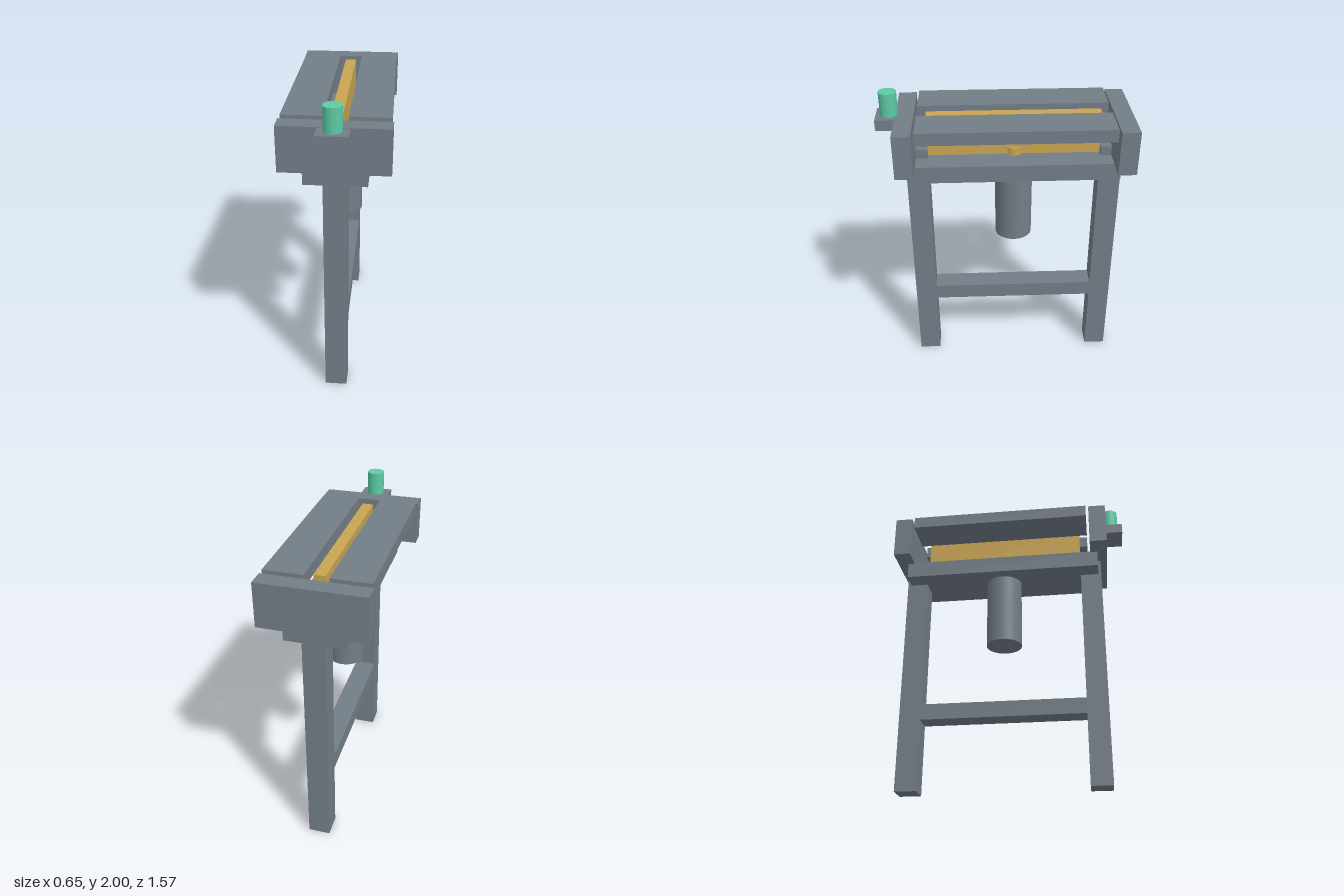
import * as THREE from 'three';

const steel = new THREE.MeshStandardMaterial({ name: 'steelGrey', color: 0x737d87 });
const brass = new THREE.MeshStandardMaterial({ name: 'brass', color: 0xc9a552 });
const green = new THREE.MeshStandardMaterial({ name: 'knobGreen', color: 0x5dcaa5 });

export function createModel() {
  const model = new THREE.Group();
  model.name = 'machineBench';

  const add = (name, geometry, material, x, y, z) => {
    const mesh = new THREE.Mesh(geometry, material);
    mesh.name = name;
    mesh.position.set(x, y, z);
    model.add(mesh);
  };
  // Box given by its extents along each axis
  const box = (name, material, [x0, x1], [y0, y1], [z0, z1]) =>
    add(name, new THREE.BoxGeometry(x1 - x0, y1 - y0, z1 - z0), material,
      (x0 + x1) / 2, (y0 + y1) / 2, (z0 + z1) / 2);
  // Upright cylinder
  const cylinder = (name, material, radius, [y0, y1], z, sides) =>
    add(name, new THREE.CylinderGeometry(radius, radius, y1 - y0, sides), material,
      0, (y0 + y1) / 2, z);

  // Stand: two posts joined by a stretcher
  box('frontLeg', steel, [-0.07, 0.07], [0, 1.64], [0.48, 0.62]);
  box('backLeg', steel, [-0.07, 0.07], [0, 1.64], [-0.74, -0.6]);
  box('stretcher', steel, [-0.07, 0.07], [0.465, 0.57], [-0.6, 0.48]);

  // Bed with the motor hanging below it
  box('bed', steel, [-0.19, 0.19], [1.47, 1.58], [-0.715, 0.6]);
  cylinder('motor', steel, 0.12, [0.99, 1.47], -0.06, 32);
  cylinder('motorHub', brass, 0.055, [1.57, 1.63], -0.06, 16);

  // Upright blade in the slot between the two table halves
  box('blade', brass, [-0.035, 0.035], [1.585, 1.85], [-0.6, 0.48]);
  for (const [side, name] of [[1, 'leftTable'], [-1, 'rightTable']]) {
    const xs = [0.073 * side, 0.315 * side].sort((a, b) => a - b);
    box(name, steel, xs, [1.79, 1.87], [-0.655, 0.535]);
  }

  // End blocks
  box('frontEndBlock', steel, [-0.325, 0.325], [1.575, 1.855], [0.553, 0.665]);
  box('backEndBlock', steel, [-0.325, 0.325], [1.575, 1.855], [-0.783, -0.67]);

  // Knob on its bracket
  box('knobBracket', steel, [-0.093, 0.093], [1.785, 1.852], [0.665, 0.783]);
  cylinder('knob', green, 0.055, [1.85, 2], 0.702, 24);

  return model;
}
